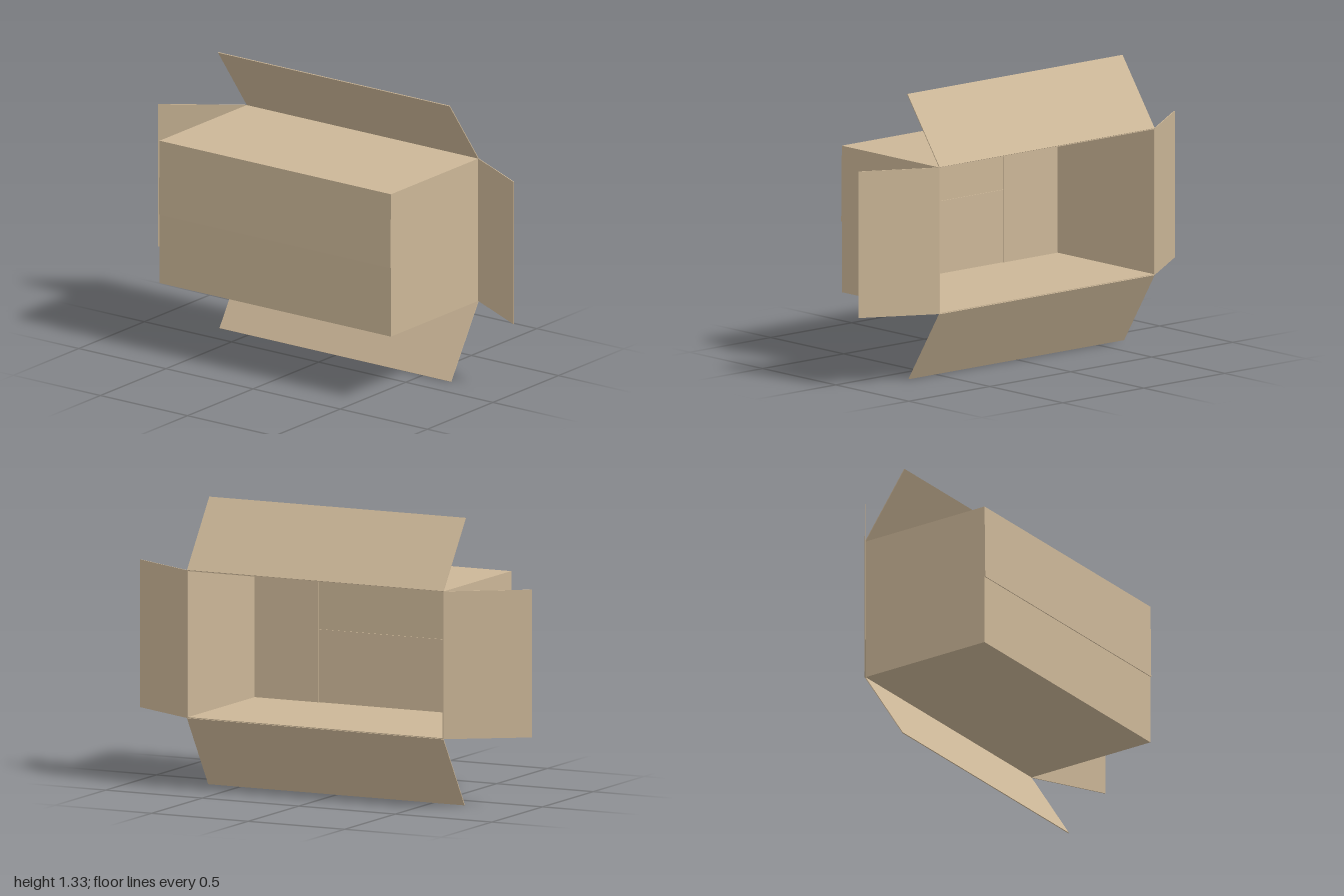
import * as THREE from 'three';

export function createModel() {
  const group = new THREE.Group();
  const card = new THREE.MeshStandardMaterial({ color: 0xcbb697, flatShading: true });

  const T = 0.004;                        // card thickness
  const L = 0.664, B = 0.34, U = 1.026;   // half width, bottom, top
  const back = -0.337, front = 0.331;
  const W = 2 * L, H = U - B, D = front - back;
  const midY = (U + B) / 2, midZ = (front + back) / 2;

  function wall(name, w, h, d, x, y, z) {
    const mesh = new THREE.Mesh(new THREE.BoxGeometry(w, h, d), card);
    mesh.name = name;
    mesh.position.set(x, y, z);
    group.add(mesh);
  }

  // A flap grows along its own +y from the hinge, then turns into place
  function flap(name, width, length, hinge, rotation) {
    const geometry = new THREE.BoxGeometry(width, length, T);
    geometry.translate(0, length / 2, 0);
    const mesh = new THREE.Mesh(geometry, card);
    mesh.name = name;
    mesh.position.set(...hinge);
    mesh.rotation.set(...rotation);
    group.add(mesh);
  }

  // Four walls of the open sleeve
  wall('topWall', W, T, D, 0, U - T / 2, midZ);
  wall('bottomWall', W, T, D, 0, B + T / 2, midZ);
  wall('leftWall', T, H, D, L - T / 2, midY, midZ);
  wall('rightWall', T, H, D, -L + T / 2, midY, midZ);

  // Opened flaps at the back, splayed outwards and forwards
  flap('backTopFlap', W, 0.38, [0, U, back], [Math.atan2(0.22, 0.31), 0, 0]);
  flap('backBottomFlap', W, 0.396, [0, B, back], [Math.atan2(0.21, -0.337), 0, 0]);
  flap('backLeftFlap', H, 0.382, [L, midY, back], [0, -Math.atan2(0.18, 0.337), -Math.PI / 2]);
  flap('backRightFlap', H, 0.409, [-L, midY, back], [0, Math.atan2(0.235, 0.335), Math.PI / 2]);

  // Closed front: short side flaps inside, long flaps meeting over them
  const inner = front - 0.008;
  flap('frontLeftFlap', H - 2 * T, 0.335, [L, midY, inner], [0, 0, Math.PI / 2]);
  flap('frontRightFlap', H - 2 * T, 0.335, [-L, midY, inner], [0, 0, -Math.PI / 2]);
  flap('frontBottomFlap', W, H / 2, [0, B, front - T / 2], [0, 0, 0]);
  flap('frontTopFlap', W, 0.355, [0, U, front - T / 2], [Math.PI - 0.012, 0, 0]);

  return group;
}
